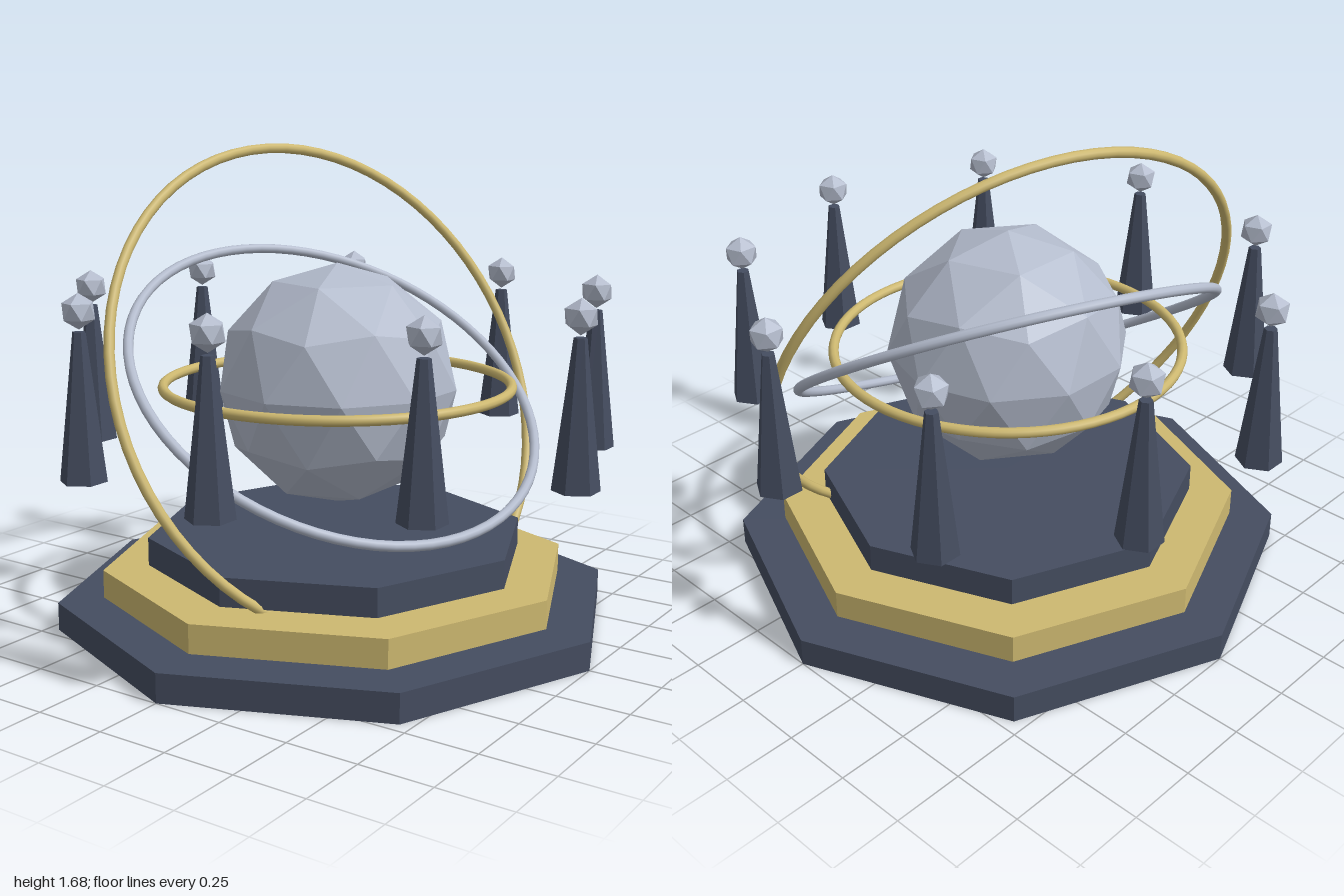
import * as THREE from 'three';

const material = (color, flatShading = true) => new THREE.MeshStandardMaterial({ color, flatShading });

export function createModel() {
  const model = new THREE.Group();
  model.name = 'armillaryMonument';
  const slate = material(0x454d60);
  const gold = material(0xcdb870);
  const silver = material(0xb4bccd);
  const ringGold = material(0xcdb870, false);
  const ringSilver = material(0xb4bccd, false);

  const add = (name, geometry, mat, x, y, z, parent = model) => {
    const mesh = new THREE.Mesh(geometry, mat);
    mesh.name = name;
    mesh.position.set(x, y, z);
    parent.add(mesh);
    return mesh;
  };

  // Icosahedral ball standing on a vertex
  const ball = (radius, detail) =>
    new THREE.IcosahedronGeometry(radius, detail).rotateZ(-Math.atan(2 / (1 + Math.sqrt(5))));

  // Three stacked octagonal steps with thin gaps
  [['lowerStep', 1, slate], ['middleStep', 0.84, gold], ['upperStep', 0.68, slate]].forEach(([name, r, mat], i) =>
    add(name, new THREE.CylinderGeometry(r, r, 0.1, 8), mat, 0, 0.05 + 0.11 * i, 0));

  // Central faceted globe
  const centre = 0.85;
  add('globe', ball(0.43, 1), silver, 0, centre, 0);

  // Tilted rings, each given by the axis it circles
  const rings = [
    ['equatorRing', 0.615, [0, 1, 0], ringGold],
    ['tiltedRing', 0.754, [0.524, 0.825, 0.209], ringSilver],
    ['outerRing', 0.896, [0.871, 0.416, 0.257], ringGold],
  ];
  for (const [name, radius, axis, mat] of rings) {
    const ring = add(name, new THREE.TorusGeometry(radius, 0.018, 10, 72), mat, 0, centre, 0);
    ring.quaternion.setFromUnitVectors(new THREE.Vector3(0, 0, 1), new THREE.Vector3(...axis).normalize());
  }

  // Circle of nine floating obelisks with faceted finials
  const spire = new THREE.CylinderGeometry(0.022, 0.08, 0.5, 6);
  const finial = ball(0.06, 0);
  for (let i = 0; i < 9; i++) {
    const a = (i / 9) * Math.PI * 2;
    const obelisk = new THREE.Group();
    obelisk.name = 'obelisk';
    obelisk.position.set(0.93 * Math.cos(a), 0, 0.93 * Math.sin(a));
    add('spire', spire, slate, 0, 0.85, 0, obelisk);
    add('finial', finial, silver, 0, 1.167, 0, obelisk);
    model.add(obelisk);
  }
  return model;
}
